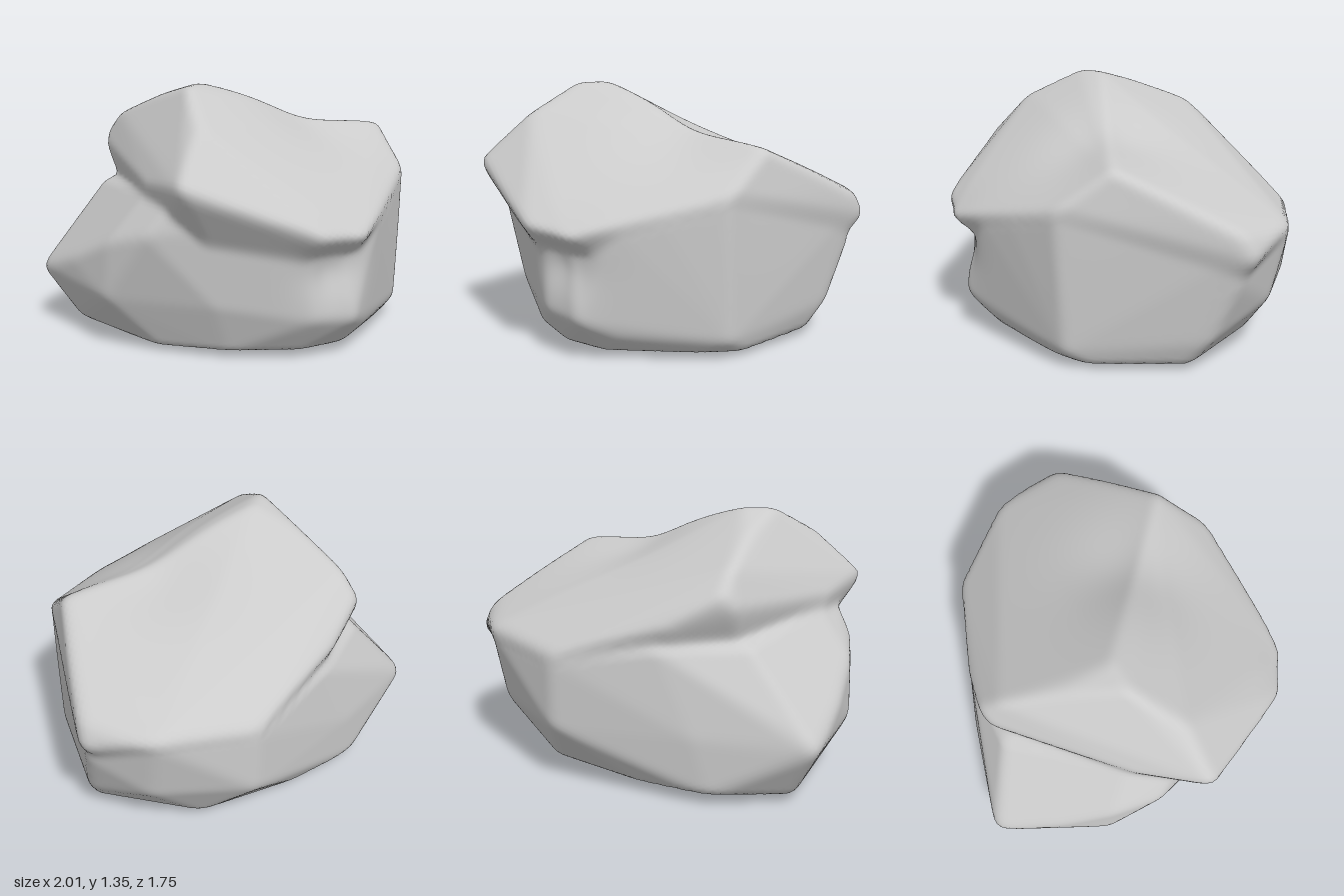
import * as THREE from 'three';
import { ConvexGeometry } from 'three/addons/geometries/ConvexGeometry.js';
import { mergeVertices } from 'three/addons/utils/BufferGeometryUtils.js';

const CENTRE = new THREE.Vector3(-0.1, 0.5, -0.05);

// Corners of the broad lower block
const BLOCK = [
  // underside rim
  [-0.84, 0.03, -0.6], [-0.7, 0, -0.4], [-0.78, 0.03, 0.05], [-0.58, 0.04, 0.37], [-0.3, 0.04, 0.6], [-0.05, 0.03, 0.64],
  [0.4, 0.03, 0.48], [0.6, 0.02, 0.33], [0.78, 0.03, -0.12], [0.45, 0.04, -0.6], [-0.1, 0.05, -0.77], [-0.48, 0.06, -0.82],
  // belt
  [-1, 0.33, -0.73], [-1.01, 0.45, -0.4], [-1, 0.3, -0.1], [-0.99, 0.6, -0.08], [-0.93, 0.67, 0.17],
  [-0.68, 0.3, 0.39], [-0.34, 0.24, 0.74], [-0.12, 0.22, 0.82], [0.05, 0.13, 0.71], [0.57, 0.1, 0.47],
  [0.87, 0.18, -0.2], [0.95, 0.5, -0.32], [0.76, 0.33, -0.58], [0.33, 0.32, -0.885], [-0.4, 0.35, -0.84],
  // upper corners, mostly buried in the cap
  [-0.62, 0.78, -0.64], [-0.8, 0.84, 0], [-0.82, 0.84, 0.25], [-0.66, 0.74, 0.46], [-0.36, 0.62, 0.77], [-0.2, 0.59, 0.82],
  [0.1, 0.68, 0.76], [0.3, 0.74, 0.66], [0.57, 0.83, 0.51], [0.67, 1.0, 0.24], [0.98, 0.69, -0.33],
  [0.79, 0.7, -0.66], [0.33, 0.67, -0.885], [-0.2, 0.77, -0.82],
];

// Corners of the overhanging cap
const CAP = [
  [-0.54, 1.35, 0.02], [-0.39, 1.355, -0.06], [-0.68, 1.2, 0.29], [-0.5, 1.27, -0.3], [-0.52, 1.15, -0.62],
  [-0.51, 1.04, -0.74], [-0.57, 0.97, -0.7],
  [-0.25, 0.87, -0.82], [0.33, 0.7, -0.895], [0.81, 0.73, -0.67], [1.03, 0.63, -0.37], [0.99, 0.78, -0.31],
  [0.68, 1.075, 0.24], [0.52, 1.06, 0.24], [0.58, 0.86, 0.51], [0.46, 0.8, 0.57],
  [-0.14, 0.66, 0.91], [-0.38, 0.69, 0.87], [-0.93, 0.94, 0.44], [-0.84, 0.89, 0.05],
  // hidden root inside the block
  [-0.5, 0.2, -0.3], [-0.4, 0.15, 0.3], [0.4, 0.15, 0.2], [0.4, 0.2, -0.4],
];

// Hollows: position, reach, depth
const DENTS = [
  [[-0.22, 0.5, 0.8], 0.17, 0.07],
  [[0.25, 1.13, 0.1], 0.36, 0.075],
];

// Face planes of a convex hull, measured from the centre
function hullPlanes(corners) {
  const pos = new ConvexGeometry(corners.map(c => new THREE.Vector3(...c).sub(CENTRE))).attributes.position;
  const planes = [];
  for (let i = 0; i < pos.count; i += 3) {
    const [a, b, c] = [0, 1, 2].map(k => new THREE.Vector3().fromBufferAttribute(pos, i + k));
    planes.push(new THREE.Plane().setFromCoplanarPoints(a, b, c));
  }
  return planes;
}

// Distance from the centre to the hull along a direction
function reach(planes, dir) {
  let r = 2;
  for (const p of planes) {
    const s = p.normal.dot(dir);
    if (s > 1e-4) r = Math.min(r, -p.constant / s);
  }
  return r;
}

function rockGeometry() {
  const block = hullPlanes(BLOCK), cap = hullPlanes(CAP);
  const radius = dir => Math.max(reach(block, dir), reach(cap, dir));

  const ball = new THREE.IcosahedronGeometry(1, 44);
  ball.deleteAttribute('normal');
  ball.deleteAttribute('uv');
  const geo = mergeVertices(ball, 1e-5);
  const pos = geo.attributes.position;
  const dir = new THREE.Vector3(), u = new THREE.Vector3(), v = new THREE.Vector3(), q = new THREE.Vector3();

  for (let i = 0; i < pos.count; i++) {
    dir.fromBufferAttribute(pos, i).normalize();
    // average over a small ring of directions to wear down the edges
    u.set(-dir.z, 0.3, dir.x).cross(dir).normalize();
    v.crossVectors(dir, u);
    let r = 2 * radius(dir);
    for (let k = 0; k < 6; k++) {
      const t = k * Math.PI / 3;
      q.copy(dir).addScaledVector(u, 0.04 * Math.cos(t)).addScaledVector(v, 0.04 * Math.sin(t)).normalize();
      r += radius(q);
    }
    r /= 8;
    q.copy(dir).multiplyScalar(r).add(CENTRE);
    for (const [at, size, depth] of DENTS) {
      const d = q.distanceTo(u.set(...at)) / size;
      r -= depth * Math.exp(-d * d);
    }
    q.copy(dir).multiplyScalar(r).add(CENTRE);
    pos.setXYZ(i, q.x, q.y, q.z);
  }

  // centre it and stand it on the ground
  geo.computeBoundingBox();
  const mid = geo.boundingBox.getCenter(new THREE.Vector3());
  geo.translate(-mid.x, -geo.boundingBox.min.y, -mid.z);
  geo.computeVertexNormals();
  return geo;
}

export function createModel() {
  const group = new THREE.Group();
  group.name = 'boulder';
  const rock = new THREE.Mesh(rockGeometry(), new THREE.MeshStandardMaterial({ color: 0xcccccc }));
  rock.name = 'rock';
  group.add(rock);
  return group;
}
